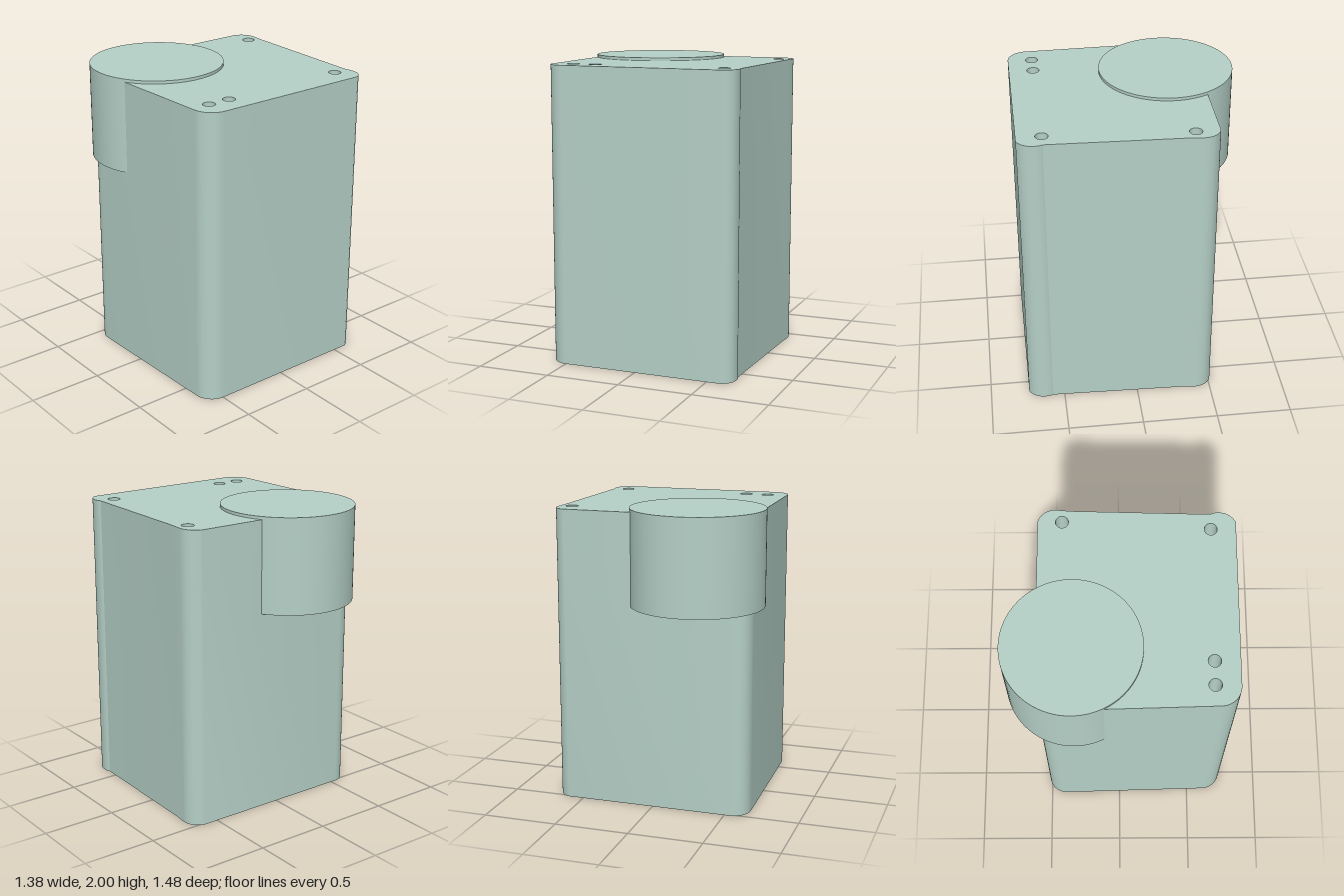
import * as THREE from 'three';
import { toCreasedNormals } from 'three/addons/utils/BufferGeometryUtils.js';

export function createModel() {
  const group = new THREE.Group();
  const material = new THREE.MeshStandardMaterial({ color: 0xb5d0c7 });

  // Block outline seen from above; shape y is -z
  const s = new THREE.Shape();
  s.moveTo(-0.5, -0.74);
  s.lineTo(0.6, -0.74);
  s.bezierCurveTo(0.645, -0.715, 0.668, -0.68, 0.667, -0.625); // front left corner
  s.quadraticCurveTo(0.666, -0.6, 0.655, -0.58);
  s.lineTo(0.68, 0.3);
  s.lineTo(0.689, 0.4);
  s.bezierCurveTo(0.688, 0.46, 0.655, 0.5, 0.605, 0.515); // back left corner
  s.lineTo(-0.53, 0.515);
  s.bezierCurveTo(-0.6, 0.515, -0.65, 0.46, -0.65, 0.39); // back right corner
  s.lineTo(-0.624, -0.61);
  s.bezierCurveTo(-0.624, -0.68, -0.57, -0.738, -0.5, -0.74); // front right corner

  // Screw holes running the full height; one ends under the cylinder
  for (const [x, z] of [[-0.49, 0.58], [-0.335, 0.58], [0.55, 0.58], [0.603, -0.36], [-0.49, -0.36]]) {
    s.holes.push(new THREE.Path().absarc(x, -z, 0.041, 0, Math.PI * 2, true));
  }

  const blockGeometry = new THREE.ExtrudeGeometry(s, { depth: 1.98, bevelEnabled: false, curveSegments: 16 });
  blockGeometry.rotateX(-Math.PI / 2);
  const block = new THREE.Mesh(toCreasedNormals(blockGeometry, 0.5), material);
  block.name = 'block';
  group.add(block);

  // Round boss overhanging the back right corner
  const boss = new THREE.Mesh(new THREE.CylinderGeometry(0.445, 0.445, 0.64, 96), material);
  boss.name = 'cylinderBoss';
  boss.position.set(-0.245, 1.68, -0.295);
  group.add(boss);

  return group;
}
